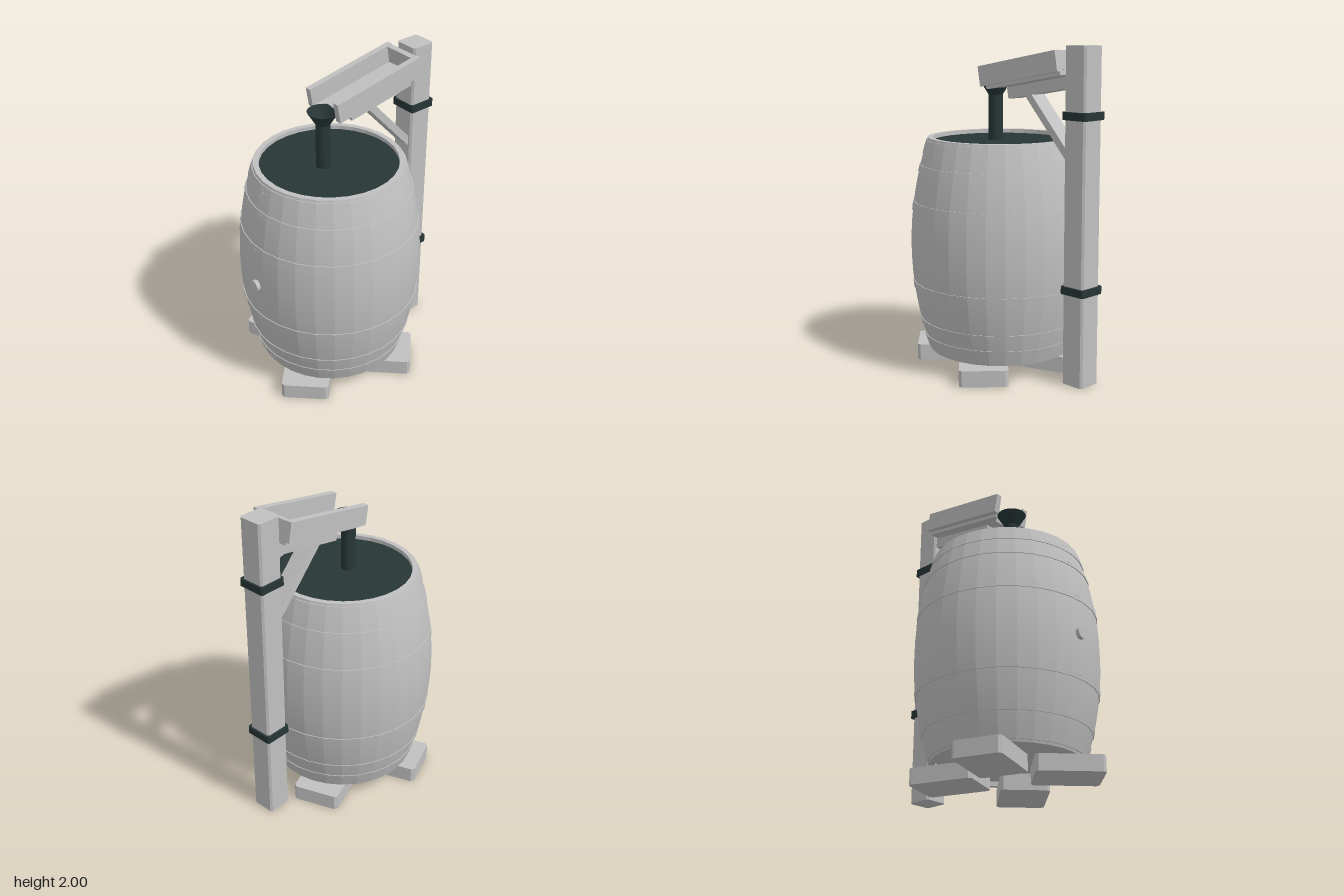
import * as THREE from 'three';
import { toCreasedNormals } from 'three/addons/utils/BufferGeometryUtils.js';

const CENTER_Z = 0.085, MID_Y = 0.768, STAVES = 30;

export function createModel() {
  const model = new THREE.Group();
  const grey = new THREE.MeshStandardMaterial({ color: 0xc0c0c0 });
  grey.name = 'pale grey wood';
  const dark = new THREE.MeshStandardMaterial({ color: 0x283636 });
  dark.name = 'dark green metal';

  function add(parent, name, geometry, material, x = 0, y = 0, z = 0) {
    const mesh = new THREE.Mesh(geometry, material);
    mesh.name = name;
    mesh.position.set(x, y, z);
    parent.add(mesh);
    return mesh;
  }
  const box = (w, h, d) => new THREE.BoxGeometry(w, h, d);

  // Upright slab from an outline of [x, z] points
  function slab(points, height) {
    const shape = new THREE.Shape(points.map(([x, z]) => new THREE.Vector2(x, -z)));
    return new THREE.ExtrudeGeometry(shape, { depth: height, bevelEnabled: false }).rotateX(-Math.PI / 2);
  }
  // Rectangle outline with cut corners
  function cutRect(w, d, c) {
    const a = w / 2, b = d / 2;
    return [[-a + c, -b], [a - c, -b], [a, -b + c], [a, b - c], [a - c, b], [-a + c, b], [-a, b - c], [-a, -b + c]];
  }

  // Barrel: bulging staves with flat faces around, smooth along their length
  const barrel = new THREE.Group();
  barrel.name = 'barrel';
  barrel.position.z = CENTER_Z;
  model.add(barrel);
  const bulge = (y) => 0.564 - 0.25 * (y - MID_Y) ** 2;
  const turn = (profile) => toCreasedNormals(new THREE.LatheGeometry(
    profile.map(([r, y]) => new THREE.Vector2(r, y)), STAVES, Math.PI / STAVES), 0.17);

  const staves = [[0.42, 0.14], [0.42, 0.1]];
  for (let i = 0; i <= 16; i++) {
    const y = 0.1 + 1.335 * i / 16;
    staves.push([bulge(y), y]);
  }
  staves.push([0.42, 1.435], [0.42, 1.39]);
  add(barrel, 'staves', turn(staves), grey);
  add(barrel, 'barrelBottom', new THREE.CylinderGeometry(0.425, 0.425, 0.02, STAVES), grey, 0, 0.14, 0);
  add(barrel, 'lid', new THREE.CylinderGeometry(0.422, 0.422, 0.02, 60), dark, 0, 1.4, 0);

  // Hoops, each with a pair of rivets at the front
  const hoops = [[0.115, 0.2], [0.265, 0.305], [0.495, 0.545], [0.99, 1.045], [1.23, 1.27], [1.34, 1.42]];
  for (const [y0, y1] of hoops) {
    const ym = (y0 + y1) / 2;
    const ring = [[bulge(y0) - 0.01, y0]];
    for (const y of [y0, ym, y1]) ring.push([bulge(y) + 0.005, y]);
    ring.push([bulge(y1) - 0.01, y1]);
    add(barrel, 'hoop', turn(ring), grey);
    for (const side of [-1, 1]) {
      const rivet = new THREE.CylinderGeometry(0.005, 0.005, 0.012, 8).rotateX(Math.PI / 2);
      add(barrel, 'rivet', rivet, grey, side * 0.013, ym, bulge(ym) * Math.cos(Math.PI / STAVES) + 0.002);
    }
  }
  add(barrel, 'bung', new THREE.CylinderGeometry(0.037, 0.037, 0.05, 20).rotateX(Math.PI / 2), grey, 0, 0.77, 0.56);

  // Four blocks under the barrel: x, z and outward direction
  const feet = [
    [0.1625, 0.315, 0.72, 0.69], [0.315, -0.1625, 0.69, -0.72],
    [-0.312, 0.157, -0.94, 0.34], [-0.157, -0.312, -0.34, -0.94],
  ];
  for (const [x, z, dx, dz] of feet) {
    const foot = add(barrel, 'footBlock', slab(cutRect(0.4, 0.295, 0.018), 0.1), grey, x, 0, z);
    foot.rotation.y = -Math.atan2(dz, dx);
  }

  // Post with two metal clamps
  add(model, 'post', slab(cutRect(0.152, 0.155, 0.012), 2), grey, 0, 0, -0.58);
  for (const y of [0.555, 1.58]) {
    add(model, 'clamp', slab(cutRect(0.178, 0.175, 0.008), 0.047), dark, 0, y, -0.582);
  }

  // Sloping trough with a notched floor, carried by a beam
  const trough = new THREE.Group();
  trough.name = 'trough';
  trough.position.set(0, 1.861, -0.185);
  trough.rotation.x = THREE.MathUtils.degToRad(10);
  model.add(trough);
  for (const side of [-1, 1]) {
    add(trough, 'troughSide', box(0.04, 0.122, 0.635), grey, side * 0.125, 0, 0);
  }
  const floor = [[-0.112, -0.31], [0.112, -0.31], [0.112, 0.3], [0.1, 0.3], [0.062, 0.25],
    [-0.062, 0.25], [-0.1, 0.3], [-0.112, 0.3]];
  add(trough, 'troughFloor', slab(floor, 0.035), grey, 0, -0.082, 0);
  add(trough, 'troughEnd', box(0.21, 0.11, 0.035), grey, 0, 0.003, -0.298);
  add(trough, 'supportBeam', box(0.12, 0.068, 0.48), grey, 0, -0.124, -0.065);

  // Diagonal brace from post to beam
  const from = new THREE.Vector3(0, 1.36, -0.515), to = new THREE.Vector3(0, 1.71, -0.195);
  const brace = add(model, 'brace', box(0.11, 0.045, from.distanceTo(to)), grey);
  brace.position.copy(from).lerp(to, 0.5);
  brace.rotation.x = -Math.atan2(to.y - from.y, to.z - from.z);

  // Funnel and pipe running down into the lid
  const funnel = [[0, 1.4], [0.044, 1.4], [0.044, 1.69], [0.093, 1.77], [0.085, 1.77], [0.035, 1.69], [0, 1.69]];
  add(model, 'funnel', toCreasedNormals(new THREE.LatheGeometry(
    funnel.map(([r, y]) => new THREE.Vector2(r, y)), 24), 0.5), dark, 0, 0, 0.13);

  return model;
}
